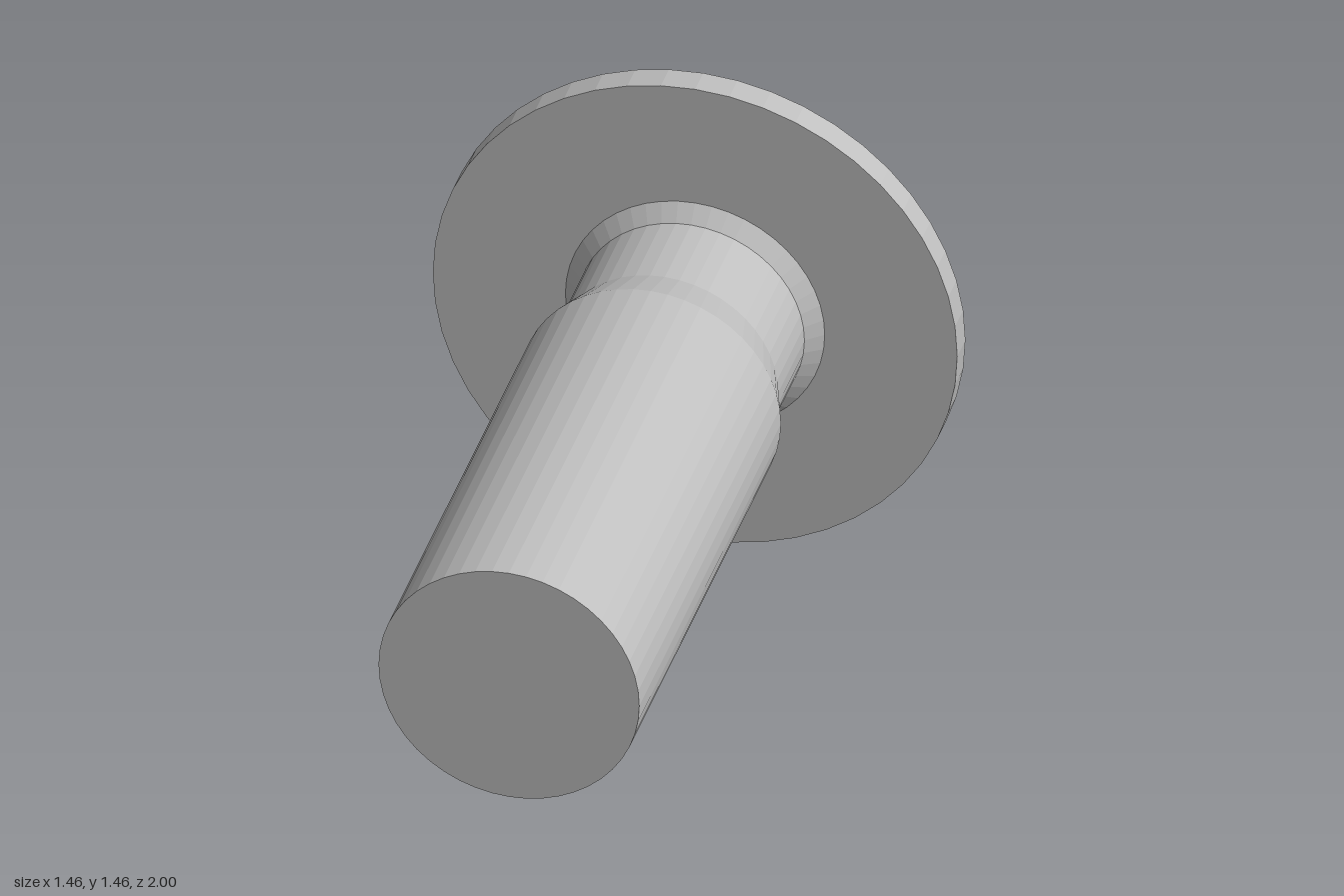
import * as THREE from 'three';

const SEGMENTS = 48;
const HEAD_RADIUS = 0.728;
const FACE_RADIUS = 0.55;
const SOCKET_RADIUS = 0.28;
const BACK = -1;

// Turned part along the z axis; profile is [radius, z] pairs.
function turned(name, profile, material, segments = SEGMENTS, start = 0) {
  const points = profile.map(([r, z]) => new THREE.Vector2(r, z));
  const geometry = new THREE.LatheGeometry(points, segments, start);
  geometry.rotateX(Math.PI / 2);
  const mesh = new THREE.Mesh(geometry, material);
  mesh.name = name;
  return mesh;
}

// Corners of a regular polygon, starting on the x axis.
function polygon(radius, sides) {
  return Array.from({ length: sides }, (_, i) => {
    const a = (i / sides) * Math.PI * 2;
    return new THREE.Vector2(Math.cos(a) * radius, Math.sin(a) * radius);
  });
}

export function createModel() {
  const steel = new THREE.MeshStandardMaterial({ color: 0xbfbfbf, flatShading: true });
  steel.name = 'steel';

  const bolt = new THREE.Group();
  bolt.name = 'bolt';

  // Shank with narrowed neck and flare under the head
  bolt.add(turned('shank', [
    [0.36, -0.82], [0.315, -0.78], [0.315, -0.525], [0.362, -0.385], [0.362, 1], [0, 1],
  ], steel));

  // Wide flat head with chamfered rim
  bolt.add(turned('head', [
    [FACE_RADIUS, BACK], [HEAD_RADIUS, -0.9], [HEAD_RADIUS, -0.82], [0.3, -0.82],
  ], steel));

  // Flat head face with hexagonal opening
  const face = new THREE.Shape(polygon(FACE_RADIUS, SEGMENTS));
  face.holes.push(new THREE.Path(polygon(SOCKET_RADIUS, 6).reverse()));
  const faceGeometry = new THREE.ShapeGeometry(face);
  faceGeometry.rotateY(Math.PI);
  faceGeometry.translate(0, 0, BACK);
  const headFace = new THREE.Mesh(faceGeometry, steel);
  headFace.name = 'headFace';
  bolt.add(headFace);

  // Hexagonal socket: floor and inward-facing walls
  bolt.add(turned('hexSocket', [
    [0, -0.56], [SOCKET_RADIUS, -0.56], [SOCKET_RADIUS, BACK],
  ], steel, 6, Math.PI / 2));

  bolt.position.y = HEAD_RADIUS;
  const model = new THREE.Group();
  model.name = 'socketBolt';
  model.add(bolt);
  return model;
}
